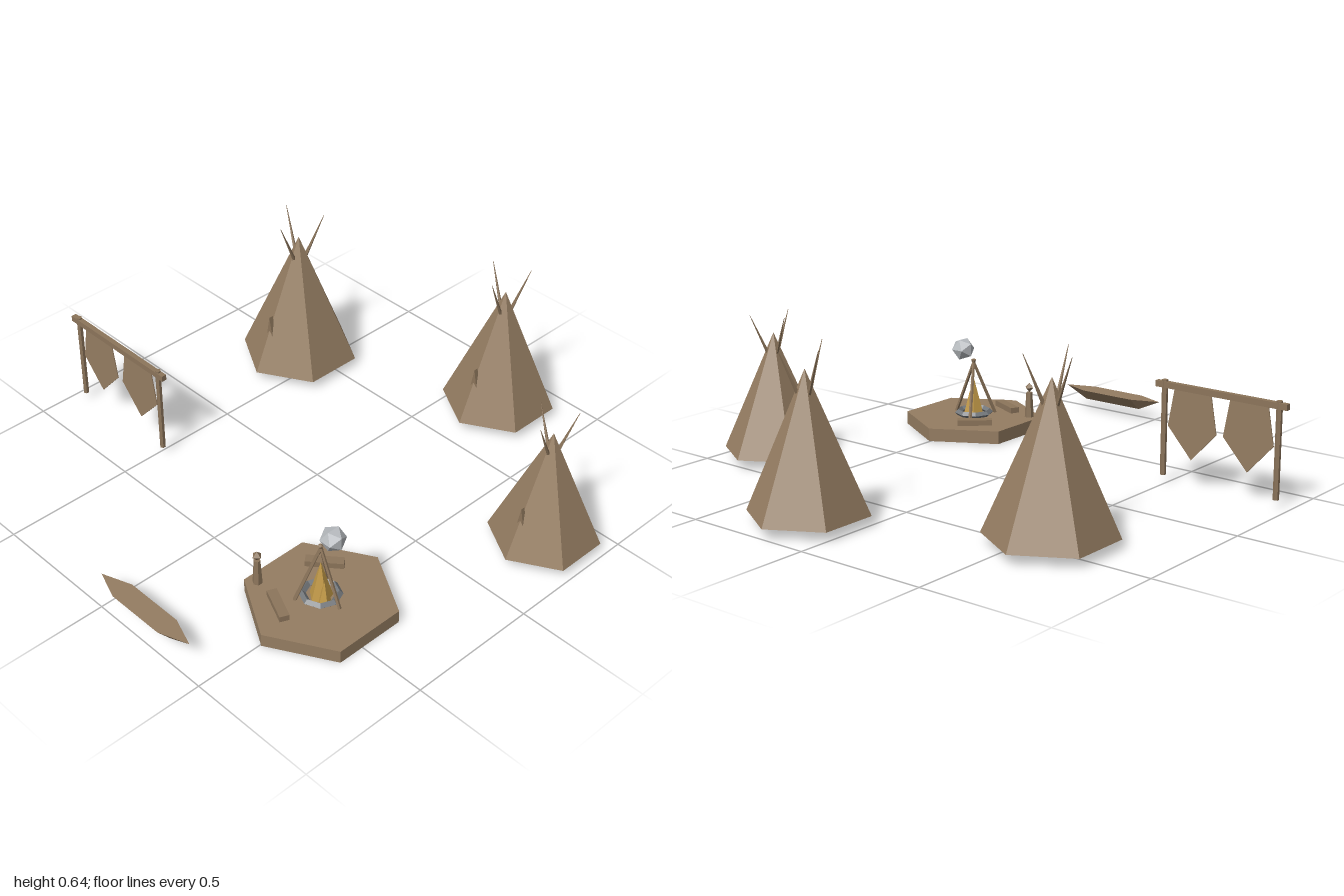
import * as THREE from 'three';
import { ConvexGeometry } from 'three/addons/geometries/ConvexGeometry.js';

const V = (x, y, z) => new THREE.Vector3(x, y, z);

export function createModel() {
  const model = new THREE.Group();
  model.name = 'camp';

  const material = (name, color) => {
    const m = new THREE.MeshStandardMaterial({ color, flatShading: true });
    m.name = name;
    return m;
  };
  const hide = material('tan hide', 0x957d62);
  const wood = material('brown wood', 0x8c755b);
  const flame = material('golden flame', 0xc29a48);
  const stone = material('grey stone', 0x74787c);
  const smoke = material('pale smoke', 0xb9bdc1);

  const add = (parent, name, geometry, mat, x = 0, y = 0, z = 0) => {
    const mesh = new THREE.Mesh(geometry, mat);
    mesh.name = name;
    mesh.position.set(x, y, z);
    parent.add(mesh);
    return mesh;
  };
  const group = (name, x = 0, y = 0, z = 0) => {
    const g = new THREE.Group();
    g.name = name;
    g.position.set(x, y, z);
    model.add(g);
    return g;
  };
  // Tapered rod between two points
  const rod = (parent, name, a, b, ra, rb, sides = 5) => {
    const mesh = add(parent, name, new THREE.CylinderGeometry(rb, ra, a.distanceTo(b), sides), wood);
    mesh.position.copy(a).add(b).multiplyScalar(0.5);
    mesh.quaternion.setFromUnitVectors(V(0, 1, 0), b.clone().sub(a).normalize());
    return mesh;
  };
  // Thin flat panel from an outline
  const panel = (points, depth) => new THREE.ExtrudeGeometry(
    new THREE.Shape(points.map(([x, y]) => new THREE.Vector2(x, y))),
    { depth, bevelEnabled: false });

  // Tents: six-sided cone, three crossing poles, triangular door flap
  const tents = [[-0.585, -0.46, 0.23, 0.525], [0.18, -0.785, 0.215, 0.495], [0.805, -0.325, 0.2, 0.445]];
  for (const [x, z, r, h] of tents) {
    const tent = group('tent', x, 0.035, z);
    tent.scale.set(r / 0.23, h / 0.525, r / 0.23);
    add(tent, 'tentCover', new THREE.ConeGeometry(0.23, 0.525, 6), hide, 0, 0.2625, 0);
    for (const [px, pz] of [[-0.1, -0.03], [0.05, -0.085], [0.015, 0.105]])
      rod(tent, 'tentPole', V(0, 0.375, 0), V(px, 0.608, pz), 0.01, 0.001);
    add(tent, 'doorFlap', panel([[-0.042, 0], [0.042, 0], [0, 0.225]], 0.018), wood, 0, 0, 0.14);
  }

  // Fire site platform
  const site = group('fireSite', 0.505, 0, 0.465);
  add(site, 'platform', new THREE.CylinderGeometry(0.27, 0.27, 0.05, 6), hide, 0, 0.025, 0);

  // Ring of stones and flames
  add(site, 'stoneRing', new THREE.TorusGeometry(0.063, 0.013, 4, 8).rotateX(Math.PI / 2), stone, 0, 0.06, 0);
  add(site, 'mainFlame', new THREE.ConeGeometry(0.042, 0.15, 5), flame, 0, 0.125, 0);
  add(site, 'sideFlame', new THREE.ConeGeometry(0.024, 0.09, 5), flame, 0.03, 0.095, 0.012);

  // Tripod over the fire
  for (let i = 0; i < 3; i++) {
    const a = (i * Math.PI * 2) / 3;
    rod(site, 'tripodLeg', V(0.09 * Math.cos(a), 0.05, 0.09 * Math.sin(a)),
      V(-0.005 * Math.cos(a), 0.275, -0.005 * Math.sin(a)), 0.007, 0.006);
  }
  add(site, 'smokePuff', new THREE.IcosahedronGeometry(0.046).rotateY(Math.PI / 2), smoke, 0.037, 0.315, -0.02);

  // Log benches
  for (const [x, z, turn] of [[-0.1, -0.115, 0.7], [-0.055, 0.143, -0.42]])
    add(site, 'logBench', new THREE.BoxGeometry(0.135, 0.022, 0.035), wood, x, 0.061, z).rotation.y = turn;

  // Carved post with a small head
  const post = group('carvedPost', 0.312, 0.05, 0.575);
  add(post, 'postBody', new THREE.CylinderGeometry(0.012, 0.018, 0.1, 6), wood, 0, 0.05, 0);
  add(post, 'postHead', new THREE.OctahedronGeometry(0.019), wood, 0, 0.119, 0);

  // Canoe: pointed deck over a V-shaped hull
  const hull = [];
  for (const s of [-1, 1])
    hull.push(V(s * 0.228, 0.09, 0), V(s * 0.115, 0.09, 0.041), V(s * 0.115, 0.09, -0.041), V(s * 0.13, 0.045, 0));
  add(model, 'canoe', new ConvexGeometry(hull), hide, 0.18, 0, 0.955);

  // Drying rack with two hanging hides
  const rack = group('dryingRack', -0.72, 0, 0.326);
  for (const s of [-1, 1]) {
    add(rack, 'rackPost', new THREE.CylinderGeometry(0.011, 0.011, 0.35, 6), wood, s * 0.231, 0.205, 0);
    add(rack, 'hangingHide', panel([[-0.075, 0.355], [-0.1, 0.215], [0, 0.105], [0.1, 0.215], [0.075, 0.355]], 0.004),
      hide, s * 0.114, 0, -0.002);
  }
  add(rack, 'rackBeam', new THREE.BoxGeometry(0.53, 0.022, 0.02), wood, 0, 0.363, 0);

  return model;
}
